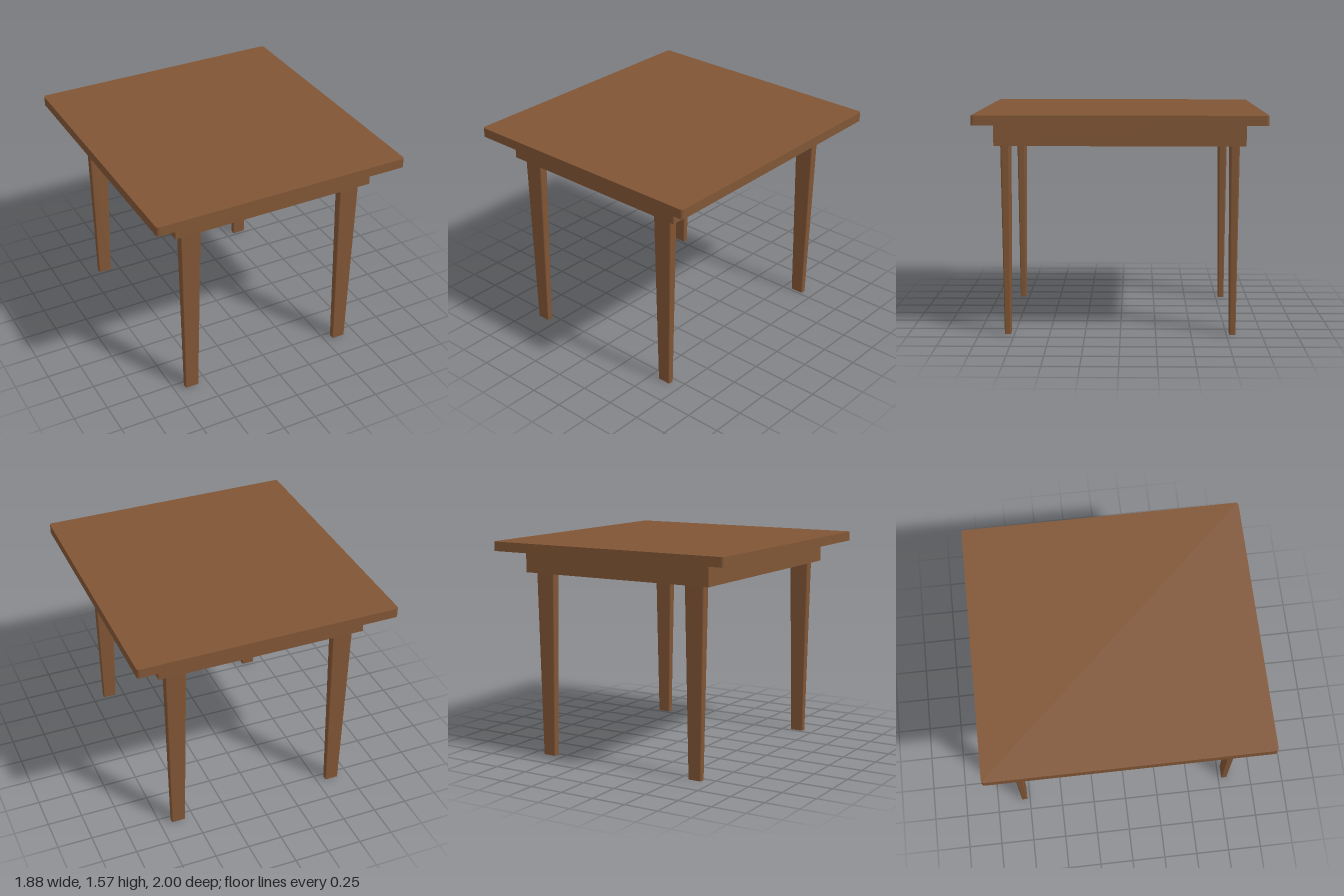
import * as THREE from 'three';

// Upright slab with rounded vertical corners, standing on y = 0
function roundedSlab(width, depth, height, radius) {
  const x = width / 2, z = depth / 2, r = radius;
  const s = new THREE.Shape();
  s.moveTo(-x + r, -z);
  s.lineTo(x - r, -z);
  s.absarc(x - r, -z + r, r, -Math.PI / 2, 0);
  s.lineTo(x, z - r);
  s.absarc(x - r, z - r, r, 0, Math.PI / 2);
  s.lineTo(-x + r, z);
  s.absarc(-x + r, z - r, r, Math.PI / 2, Math.PI);
  s.lineTo(-x, -z + r);
  s.absarc(-x + r, -z + r, r, Math.PI, Math.PI * 1.5);
  const g = new THREE.ExtrudeGeometry(s, { depth: height, bevelEnabled: false, curveSegments: 4 });
  return g.rotateX(-Math.PI / 2);
}

export function createModel() {
  const table = new THREE.Group();
  table.name = 'table';
  const wood = new THREE.MeshStandardMaterial({ color: 0x805535 });
  wood.name = 'brown wood';

  const add = (name, geometry, x, y, z) => {
    const mesh = new THREE.Mesh(geometry, wood);
    mesh.name = name;
    mesh.position.set(x, y, z);
    table.add(mesh);
  };

  // Top board and the solid frame below it
  add('tableTop', roundedSlab(1.876, 2, 0.068, 0.02), 0, 1.5, 0);
  add('apron', new THREE.BoxGeometry(1.5, 0.155, 1.735), 0, 1.4225, 0.002);

  // Flat legs, narrowing towards the foot
  const legHeight = 1.345;
  const leg = roundedSlab(0.152, 0.066, legHeight, 0.012);
  const p = leg.attributes.position;
  for (let i = 0; i < p.count; i++) {
    const k = THREE.MathUtils.lerp(0.66, 1, p.getY(i) / legHeight);
    p.setX(i, p.getX(i) * k);
    p.setZ(i, p.getZ(i) * k);
  }
  leg.computeVertexNormals();

  for (const [side, x] of [['Left', 0.614], ['Right', -0.617]]) {
    add(`front${side}Leg`, leg, x, 0, 0.797);
    add(`back${side}Leg`, leg, x, 0, -0.793);
  }
  return table;
}
